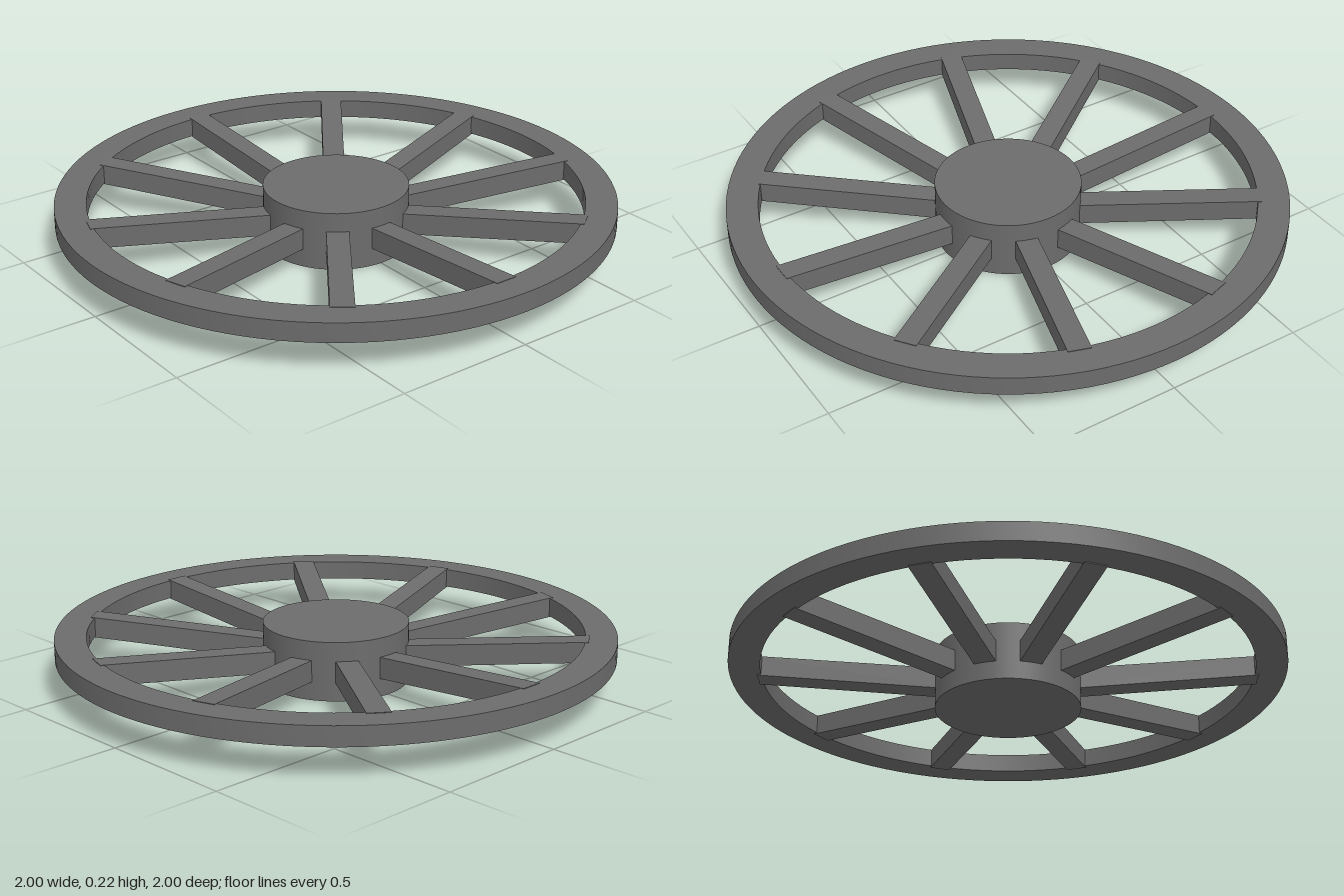
import * as THREE from 'three';
import { toCreasedNormals } from 'three/addons/utils/BufferGeometryUtils.js';

export function createModel() {
  const wheel = new THREE.Group();
  wheel.name = 'spokedWheel';
  const grey = new THREE.MeshStandardMaterial({ color: 0x6c6c6c });
  grey.name = 'dark grey';
  const points = (list) => list.map(([x, y]) => new THREE.Vector2(x, y));

  const add = (name, geometry) => {
    const mesh = new THREE.Mesh(geometry, grey);
    mesh.name = name;
    wheel.add(mesh);
    return mesh;
  };

  // Rim: a rectangular section turned around the axle
  const rimSection = points([[1, 0.12], [1, 0.19], [0.887, 0.19], [0.887, 0.12], [1, 0.12]]);
  add('rim', toCreasedNormals(new THREE.LatheGeometry(rimSection, 120), 0.6));

  // Hub: a solid disc, taller than the rim
  const hubHeight = 0.215;
  add('hub', new THREE.CylinderGeometry(0.262, 0.262, hubHeight, 80)).position.y = hubHeight / 2;

  // Spokes: flat bars sloping up from the hub to the rim
  const count = 10, width = 0.08;
  const side = new THREE.Shape(points([[0.2, 0.062], [0.9, 0.117], [0.9, 0.192], [0.2, 0.141]]));
  const spoke = new THREE.ExtrudeGeometry(side, { depth: width, bevelEnabled: false });
  spoke.translate(0, 0, -width / 2);
  for (let i = 0; i < count; i++) {
    add('spoke' + (i + 1), spoke).rotation.y = Math.PI / 2 + (i * 2 * Math.PI) / count;
  }
  return wheel;
}
